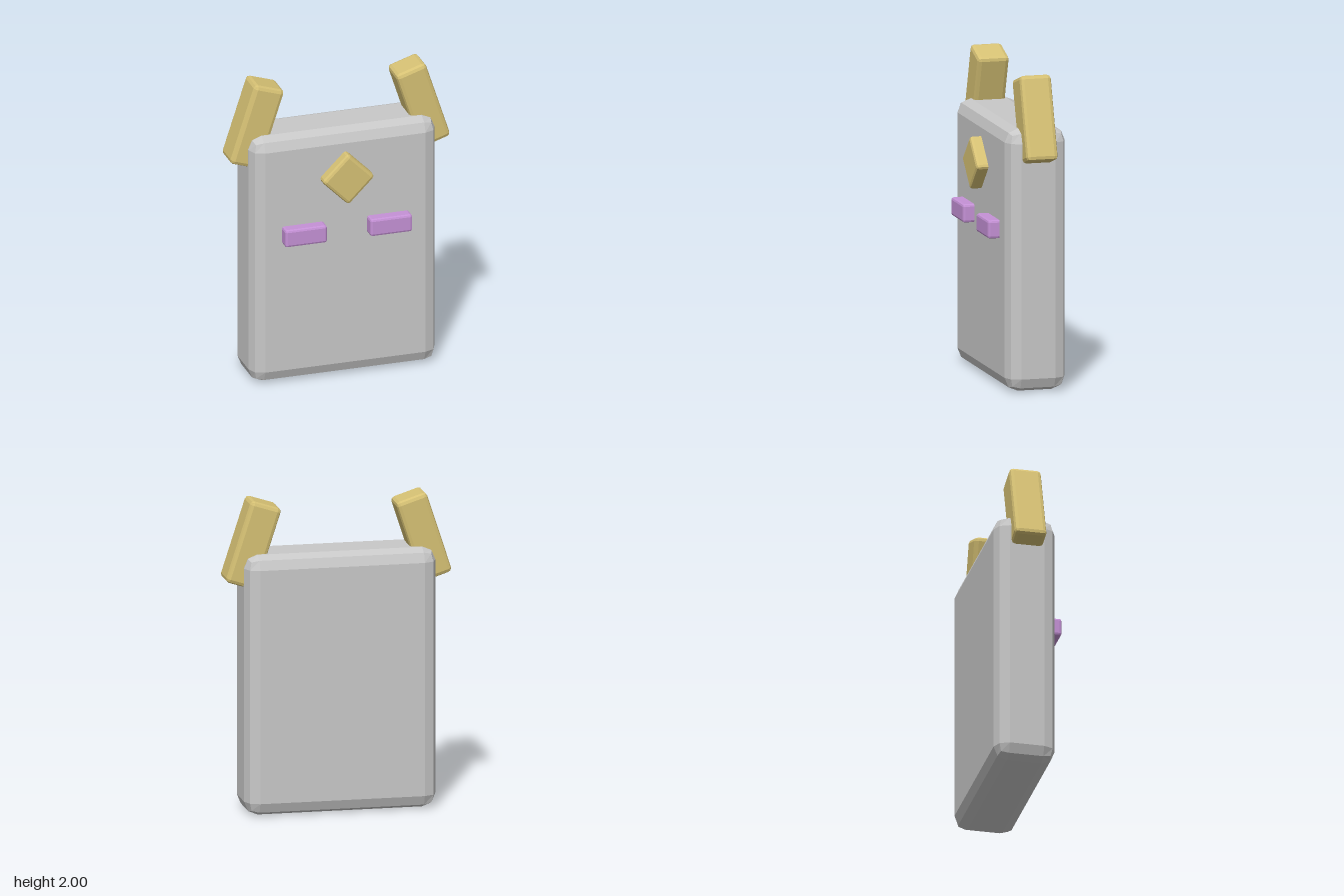
import * as THREE from 'three';
import { RoundedBoxGeometry } from 'three/addons/geometries/RoundedBoxGeometry.js';

function material(name, color) {
  const m = new THREE.MeshStandardMaterial({ color, flatShading: true });
  m.name = name;
  return m;
}

// Box with a two-facet bevel along every edge
function bevelBox(name, size, bevel, mat, position, tilt = 0) {
  const mesh = new THREE.Mesh(new RoundedBoxGeometry(...size, 1, bevel), mat);
  mesh.name = name;
  mesh.position.set(...position);
  mesh.rotation.z = tilt;
  return mesh;
}

export function createModel() {
  const grey = material('grey', 0xc8c8c8);
  const gold = material('gold', 0xd6c174);
  const purple = material('purple', 0xc591d6);

  const model = new THREE.Group();
  model.name = 'slabCreature';

  // Upright slab body
  model.add(bevelBox('body', [1.22, 1.665, 0.39], 0.085, grey, [0, 0.8325, -0.04]));

  // Diamond on the forehead
  model.add(bevelBox('foreheadDiamond', [0.245, 0.245, 0.14], 0.02, gold, [0, 1.36, 0.16], Math.PI / 4));

  // Mirrored eyes and ears; the ears lean inward at the top
  for (const [side, s] of [['left', 1], ['right', -1]]) {
    model.add(bevelBox(side + 'Eye', [0.275, 0.116, 0.14], 0.015, purple, [s * 0.279, 1.009, 0.16]));
    model.add(bevelBox(side + 'Ear', [0.205, 0.54, 0.204], 0.025, gold, [s * 0.544, 1.719, -0.038], s * 0.313));
  }
  return model;
}
